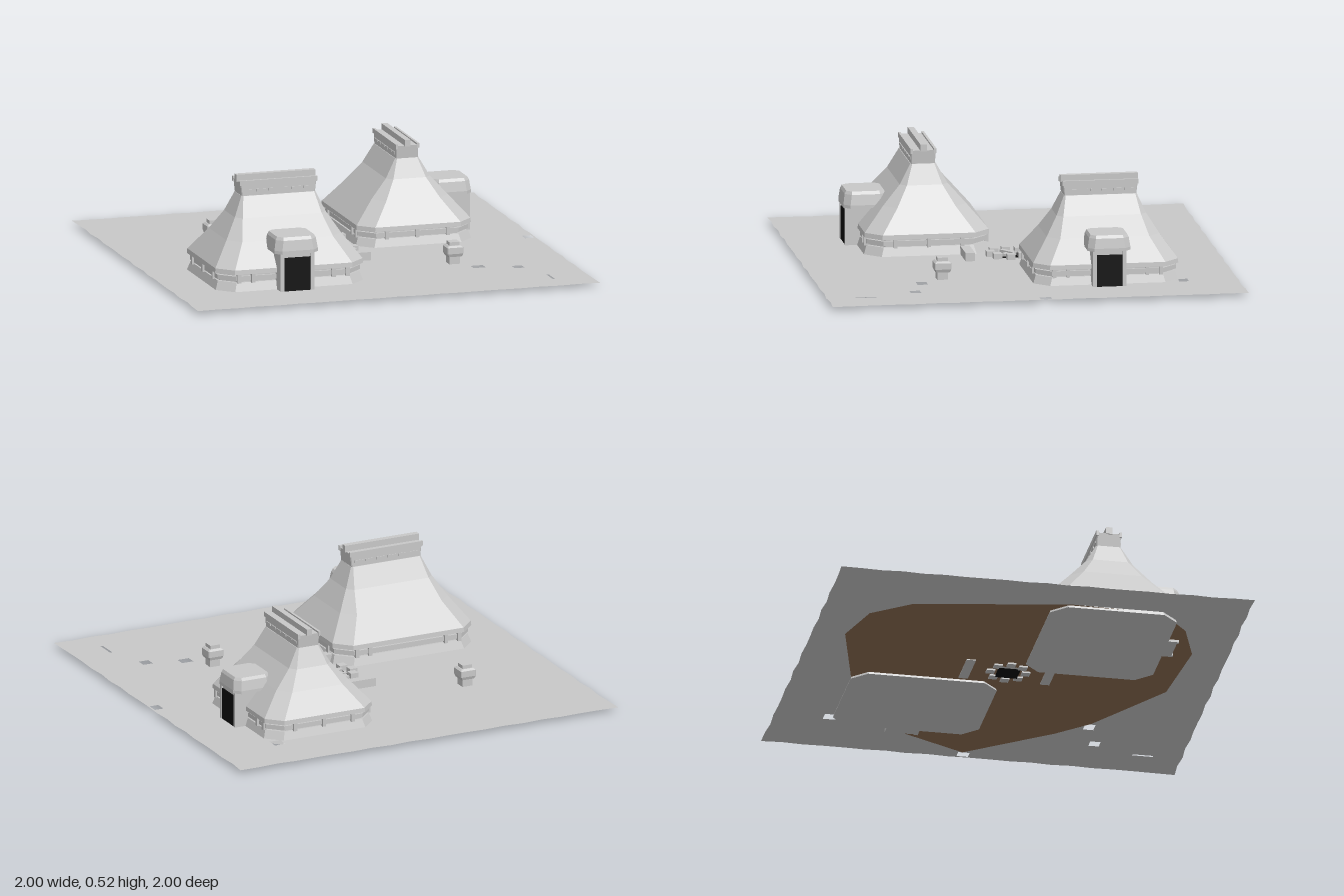
import * as THREE from 'three';

const mat = (name, color, extra = {}) => {
  const m = new THREE.MeshStandardMaterial({ color, ...extra });
  m.name = name;
  return m;
};

// Chamfered rectangle cross-sections [y, halfX, halfZ, chamfer], joined bottom to top with flat faces
function loft(rings) {
  const loops = rings.map(([y, a, b, c]) => [
    [a, b - c], [a, c - b], [a - c, -b], [c - a, -b],
    [-a, c - b], [-a, b - c], [c - a, b], [a - c, b],
  ].map(([x, z]) => [x, y, z]));
  const pos = [];
  const tri = (...p) => p.forEach((q) => pos.push(...q));
  for (let r = 0; r + 1 < loops.length; r++) {
    for (let i = 0; i < 8; i++) {
      const j = (i + 1) % 8, lo = loops[r], hi = loops[r + 1];
      tri(lo[i], lo[j], hi[j]);
      tri(lo[i], hi[j], hi[i]);
    }
  }
  const bottom = loops[0], top = loops[loops.length - 1];
  for (let i = 1; i < 7; i++) {
    tri(top[0], top[i], top[i + 1]);
    tri(bottom[0], bottom[i + 1], bottom[i]);
  }
  const g = new THREE.BufferGeometry();
  g.setAttribute('position', new THREE.Float32BufferAttribute(pos, 3));
  g.computeVertexNormals();
  return g;
}

export function createModel() {
  const stone = mat('pale grey', 0xc8c8c8);
  const sheet = mat('ground grey', 0xc8c8c8, { side: THREE.DoubleSide });
  const black = mat('black', 0x0c0c0c);
  const brown = mat('earth brown', 0x8e6e53);

  const add = (parent, name, geo, m, x = 0, y = 0, z = 0) => {
    const mesh = new THREE.Mesh(geo, m);
    mesh.name = name;
    mesh.position.set(x, y, z);
    parent.add(mesh);
    return mesh;
  };
  const box = (parent, name, w, h, d, x, y, z, m = stone) =>
    add(parent, name, new THREE.BoxGeometry(w, h, d), m, x, y, z);

  function hut() {
    const g = new THREE.Group();
    // Flared plinth and inset wall
    add(g, 'hutWall', loft([
      [0, 0.372, 0.308, 0.075], [0.06, 0.352, 0.288, 0.072],
      [0.06, 0.34, 0.276, 0.07], [0.105, 0.34, 0.276, 0.07],
    ]), stone);
    add(g, 'wallRail', loft([[0.068, 0.354, 0.289, 0.072], [0.09, 0.354, 0.289, 0.072]]), stone);
    // Concave hipped roof
    add(g, 'roof', loft([
      [0.1, 0.368, 0.3, 0.075], [0.122, 0.366, 0.298, 0.075], [0.235, 0.285, 0.2, 0.06],
      [0.33, 0.226, 0.115, 0.03], [0.425, 0.184, 0.061, 0.008],
    ]), stone);
    // Pegs along the rail on all sides
    for (const s of [-1, 1]) {
      for (const x of [-0.27, -0.2, 0.2, 0.27]) box(g, 'railPeg', 0.018, 0.045, 0.02, x, 0.08, s * 0.289);
      for (const z of [-0.16, 0, 0.16]) box(g, 'railPeg', 0.02, 0.045, 0.018, s * 0.354, 0.08, z);
    }
    // Ridge vent that widens upwards, with rails and a ridge beam
    add(g, 'ridgeVent', loft([[0.42, 0.182, 0.058, 0.004], [0.49, 0.19, 0.058, 0.004]]), stone);
    for (const s of [-1, 1]) {
      box(g, 'ventRail', 0.386, 0.024, 0.012, 0, 0.487, s * 0.056);
      for (let i = 0; i < 6; i++) box(g, 'ventSlat', 0.045, 0.012, 0.006, (i - 2.5) * 0.058, 0.45, s * 0.059);
    }
    box(g, 'ridgeBeam', 0.392, 0.034, 0.03, 0, 0.503, 0);
    // Porch with dark doorway and chamfered hood
    box(g, 'porch', 0.168, 0.205, 0.16, 0, 0.1025, 0.272);
    box(g, 'doorway', 0.13, 0.165, 0.008, 0, 0.0975, 0.354, black);
    for (const s of [-1, 1]) box(g, 'doorPost', 0.018, 0.205, 0.012, s * 0.075, 0.1025, 0.354);
    add(g, 'porchHood', loft([
      [0.2, 0.108, 0.105, 0.03], [0.215, 0.108, 0.105, 0.03],
      [0.265, 0.1, 0.098, 0.03], [0.28, 0.092, 0.09, 0.025],
    ]), stone, 0, 0, 0.262);
    return g;
  }

  function lantern() {
    const g = new THREE.Group();
    box(g, 'lanternFoot', 0.052, 0.05, 0.052, 0, 0.04, 0);
    add(g, 'lanternHead', loft([
      [0.055, 0.034, 0.034, 0.004], [0.07, 0.04, 0.04, 0.004],
      [0.1, 0.04, 0.04, 0.004], [0.108, 0.03, 0.03, 0.004],
    ]), stone);
    box(g, 'lanternCap', 0.05, 0.02, 0.05, 0, 0.115, 0);
    return g;
  }

  const model = new THREE.Group();
  model.name = 'village';
  const place = (g, name, x, z, turn = 0, scale = 1) => {
    g.name = name;
    g.position.set(x, 0, z);
    g.rotation.y = turn;
    g.scale.setScalar(scale);
    model.add(g);
  };
  place(hut(), 'frontHut', -0.42, 0.37);
  place(hut(), 'backHut', 0.415, -0.37, Math.PI / 2, 0.95);
  place(lantern(), 'leftLantern', 0.46, 0.39);
  place(lantern(), 'rightLantern', -0.49, -0.39);

  // Thin ground with ragged edges and small gaps; shape y is -z
  const corners = [[-1, -1], [1, -1], [1, 1], [-1, 1]], edge = [];
  corners.forEach(([x, y], k) => {
    const [nx, ny] = corners[(k + 1) % 4];
    for (let i = 0; i < 20; i++) {
      const t = i / 20, inset = i ? 1 - 0.004 * (1 + Math.sin(i * 2.7 + k)) : 1;
      const px = x + (nx - x) * t, py = y + (ny - y) * t;
      edge.push(new THREE.Vector2(k % 2 ? px * inset : px, k % 2 ? py : py * inset));
    }
  });
  const ground = new THREE.Shape(edge);
  const gaps = [[0.67, -0.73, 0.056, 0.06], [0.965, -0.03, 0.045, 0.055], [0.55, 0.5, 0.06, 0.05],
    [0.73, 0.56, 0.05, 0.05], [0.815, 0.81, 0.012, 0.1]];
  const gapPaths = () => gaps.map(([x, z, w, d]) => new THREE.Path([
    [x - w / 2, z - d / 2], [x - w / 2, z + d / 2], [x + w / 2, z + d / 2], [x + w / 2, z - d / 2],
  ].map(([a, b]) => new THREE.Vector2(a, -b))));
  ground.holes = gapPaths();
  add(model, 'ground', new THREE.ShapeGeometry(ground), sheet, 0, 0.018, 0).rotation.x = -Math.PI / 2;

  // Earth bed below the ground, facing down; shape y is z
  const bed = new THREE.Shape([
    [0.93, -0.04], [0.75, -0.4], [0.62, -0.68], [0.2, -0.72], [-0.27, -0.84], [-0.52, -0.77], [-0.66, -0.59],
    [-0.8, 0.15], [-0.78, 0.6], [-0.61, 0.74], [-0.36, 0.82], [0.08, 0.78], [0.5, 0.5], [0.64, 0.35],
  ].map(([x, z]) => new THREE.Vector2(x, z)));
  add(model, 'earthBed', new THREE.ShapeGeometry(bed), brown, 0, 0.012, 0).rotation.x = Math.PI / 2;

  // Fire pit with crossed logs and a ring of stones
  box(model, 'firePit', 0.105, 0.018, 0.105, 0, 0.013, 0, black);
  for (const s of [-1, 1]) {
    box(model, 'log', 0.095, 0.016, 0.022, 0, 0.03 + s * 0.003, 0).rotation.y = s * Math.PI / 5;
  }
  for (let i = 0; i < 8; i++) {
    const a = i * Math.PI / 4, r = 0.085;
    box(model, 'hearthStone', 0.04, 0.04, 0.04, r * Math.cos(a), 0.024, r * Math.sin(a));
  }

  // Benches on both sides of the fire
  for (const s of [-1, 1]) {
    box(model, 'bench', 0.208, 0.05, 0.045, 0, 0.033, s * 0.197);
  }
  return model;
}
